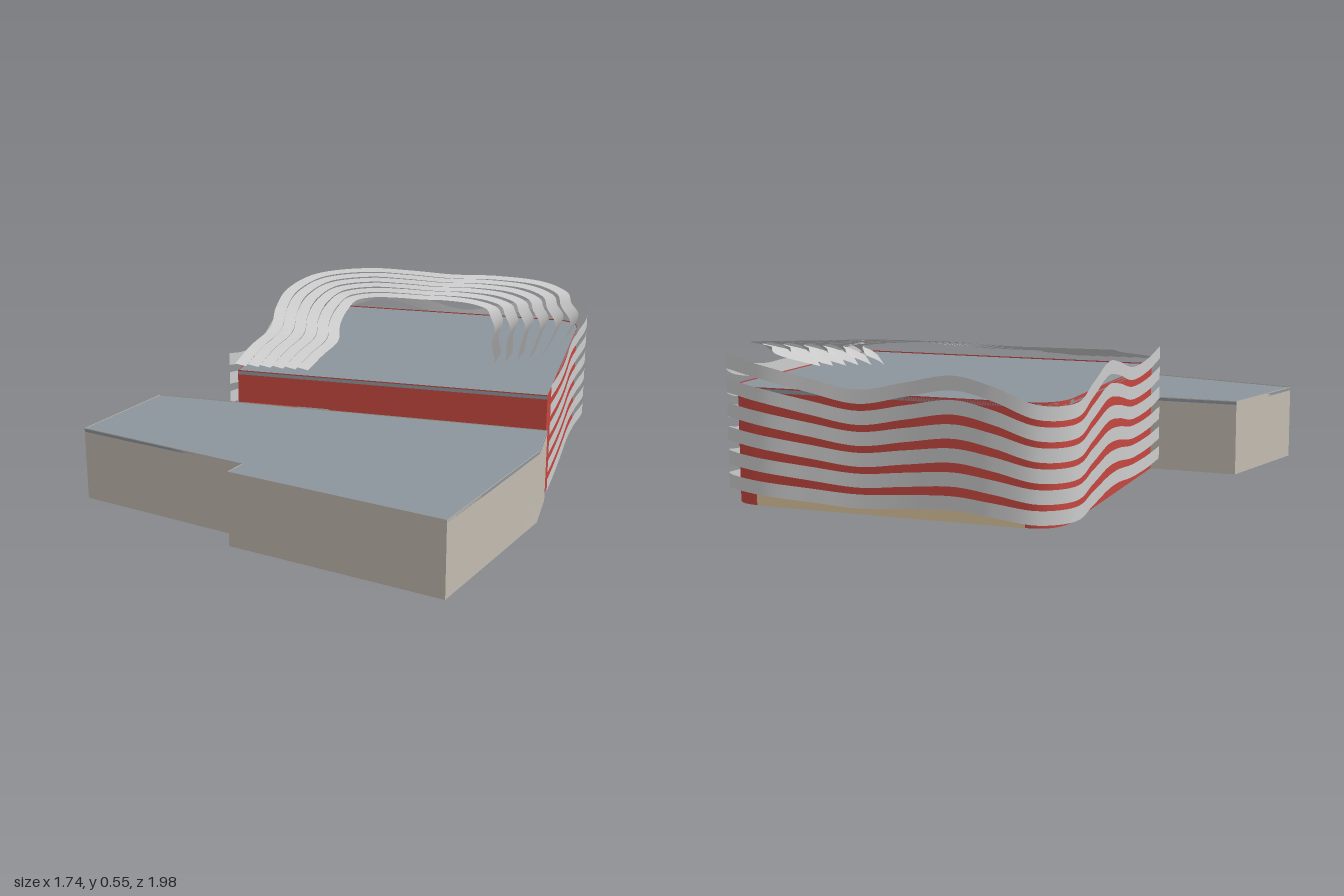
import * as THREE from 'three';
import { toCreasedNormals } from 'three/addons/utils/BufferGeometryUtils.js';

const material = (color) => new THREE.MeshStandardMaterial({ color, side: THREE.DoubleSide });
const red = material(0xc4473f);
const stone = material(0xc2bbb0);
const roofGrey = material(0x8c959c);
const tan = material(0xd9c49c);
const metal = material(0xcccccc);

// Surface between two lists of points of equal length
function strip(a, b, crease) {
  const pos = [], index = [];
  a.forEach((p, i) => {
    pos.push(...p.toArray(), ...b[i].toArray());
    if (i) index.push(2 * i - 2, 2 * i, 2 * i - 1, 2 * i - 1, 2 * i, 2 * i + 1);
  });
  const g = new THREE.BufferGeometry();
  g.setAttribute('position', new THREE.Float32BufferAttribute(pos, 3));
  g.setIndex(index);
  g.computeVertexNormals();
  return crease ? toCreasedNormals(g, 0.5) : g;
}

// Upright wall over a ground path of Vector2(x, z)
function wall(path, y0, y1) {
  const at = (y) => path.map((p) => new THREE.Vector3(p.x, y, p.y));
  return strip(at(y0), at(y1), true);
}

// Flat slab over a ground outline
function slab(outline, y, thickness) {
  const shape = new THREE.Shape(outline.map((p) => new THREE.Vector2(p.x, -p.y)));
  const g = new THREE.ExtrudeGeometry(shape, { depth: thickness, bevelEnabled: false });
  return g.rotateX(-Math.PI / 2).translate(0, y, 0);
}

function add(group, name, geometry, mat) {
  const mesh = new THREE.Mesh(geometry, mat);
  mesh.name = name;
  group.add(mesh);
  return mesh;
}

function annex() {
  const g = new THREE.Group();
  g.name = 'annex';
  const outline = [[-0.705, -0.04], [-0.872, 0.35], [-0.265, 0.615], [-0.3, 0.69],
    [0.42, 0.99], [0.69, 0.37], [0.715, 0.17]].map((p) => new THREE.Vector2(...p));
  add(g, 'annexWalls', wall([...outline, outline[0]], 0, 0.26), stone);
  add(g, 'annexRoof', slab(outline, 0.247, 0.01), roofGrey);
  return g;
}

function hall() {
  const g = new THREE.Group();
  g.name = 'hall';
  const H = 0.38;
  // Left, back and right sides with two rounded corners
  const path = new THREE.Path();
  path.moveTo(-0.4, 0.0);
  path.lineTo(-0.285, -0.83);
  path.quadraticCurveTo(-0.27, -0.965, -0.16, -0.953);
  path.lineTo(0.74, -0.84);
  path.quadraticCurveTo(0.845, -0.825, 0.826, -0.7);
  path.lineTo(0.71, 0.15);
  const outline = path.getPoints(10);
  add(g, 'sideWalls', wall(outline, 0, H), red);
  add(g, 'hallRoof', slab(outline, H - 0.016, 0.012), roofGrey);

  // Front wall with a doorway into the annex
  const L = Math.hypot(1.11, 0.15);
  const front = new THREE.Shape([[0, 0], [0.02, 0], [0.02, 0.26], [0.34, 0.26],
    [0.34, 0], [L, 0], [L, H], [0, H]].map((p) => new THREE.Vector2(...p)));
  const frontWall = add(g, 'frontWall', new THREE.ShapeGeometry(front), red);
  frontWall.position.set(-0.4, 0, 0);
  frontWall.rotation.y = -Math.atan2(0.15, 1.11);

  // Low band along the back
  const band = [new THREE.Vector2(-0.16, -0.957), new THREE.Vector2(0.74, -0.844)];
  add(g, 'backBand', wall(band, 0, 0.05), tan);
  return g;
}

// Upright wavy ribbons round three sides: x, z, rise
function wallRibbons() {
  const g = new THREE.Group();
  g.name = 'wallRibbons';
  const ctrl = [[-0.43, 0.0, 0.03], [-0.405, -0.13, 0.0], [-0.375, -0.28, -0.01], [-0.355, -0.42, 0.025],
    [-0.345, -0.58, 0.045], [-0.325, -0.74, 0.0], [-0.3, -0.9, -0.04], [-0.2, -0.98, -0.035],
    [-0.07, -0.985, 0.015], [0.06, -0.955, 0.04], [0.22, -0.92, 0.01], [0.38, -0.9, -0.02],
    [0.54, -0.895, 0.01], [0.72, -0.885, 0.05], [0.84, -0.82, 0.065], [0.866, -0.7, 0.03],
    [0.83, -0.55, 0.005], [0.802, -0.4, 0.005], [0.775, -0.22, -0.02], [0.748, -0.02, -0.01], [0.722, 0.16, 0.008]];
  for (let k = 0; k < 6; k++) {
    const curve = new THREE.CatmullRomCurve3(ctrl.map(([x, z, dy]) =>
      new THREE.Vector3(x, 0.05 + 0.068 * k + dy * (0.35 + 0.13 * k), z)));
    const pts = curve.getPoints(160);
    const shift = (d) => pts.map((p) => new THREE.Vector3(p.x, p.y + d, p.z));
    add(g, 'wallRibbon', strip(shift(-0.022), shift(0.022)), metal);
  }
  return g;
}

// Flat wavy ribbons floating over the roof, blended from an outer to an inner path
function roofRibbons() {
  const g = new THREE.Group();
  g.name = 'roofRibbons';
  const outer = [[-0.39, 0], [-0.36, -0.15], [-0.315, -0.3], [-0.325, -0.5], [-0.31, -0.7], [-0.22, -0.88],
    [-0.03, -0.945], [0.15, -0.9], [0.32, -0.855], [0.5, -0.875], [0.68, -0.845], [0.765, -0.76],
    [0.78, -0.65], [0.81, -0.55], [0.79, -0.44], [0.735, -0.3]];
  const inner = [[-0.16, 0.02], [-0.125, -0.1], [-0.085, -0.22], [-0.095, -0.36], [-0.085, -0.5], [-0.055, -0.61],
    [0.02, -0.64], [0.12, -0.63], [0.22, -0.615], [0.32, -0.625], [0.42, -0.615], [0.49, -0.58],
    [0.51, -0.52], [0.525, -0.44], [0.515, -0.35], [0.53, -0.22]];
  const height = [0.4, 0.42, 0.44, 0.465, 0.485, 0.5, 0.508, 0.512, 0.512, 0.508, 0.5, 0.488, 0.475, 0.455, 0.43, 0.395];
  const N = 150;
  for (let k = 0; k < 6; k++) {
    const t = k / 5;
    const curve = new THREE.CatmullRomCurve3(outer.map(([x, z], i) => new THREE.Vector3(
      THREE.MathUtils.lerp(x, inner[i][0], t),
      height[i] + 0.03 * (1 - t) * Math.sin(Math.PI * i / 15),
      THREE.MathUtils.lerp(z, inner[i][1], t))));
    const a = [], b = [];
    for (let i = 0; i <= N; i++) {
      const u = i / N;
      const p = curve.getPoint(u), d = curve.getTangent(u);
      // Ribbons twist upright towards their right-hand ends
      const tilt = 0.15 + 0.85 * THREE.MathUtils.smoothstep(u, 0.72, 0.95);
      const side = new THREE.Vector3(-d.z, 0, d.x).normalize().multiplyScalar(Math.cos(tilt));
      side.y = -Math.sin(tilt);
      a.push(p.clone().addScaledVector(side, 0.021));
      b.push(p.clone().addScaledVector(side, -0.021));
    }
    add(g, 'roofRibbon', strip(a, b), metal);
  }
  return g;
}

export function createModel() {
  const model = new THREE.Group();
  model.name = 'building';
  model.add(annex(), hall(), wallRibbons(), roofRibbons());
  return model;
}
